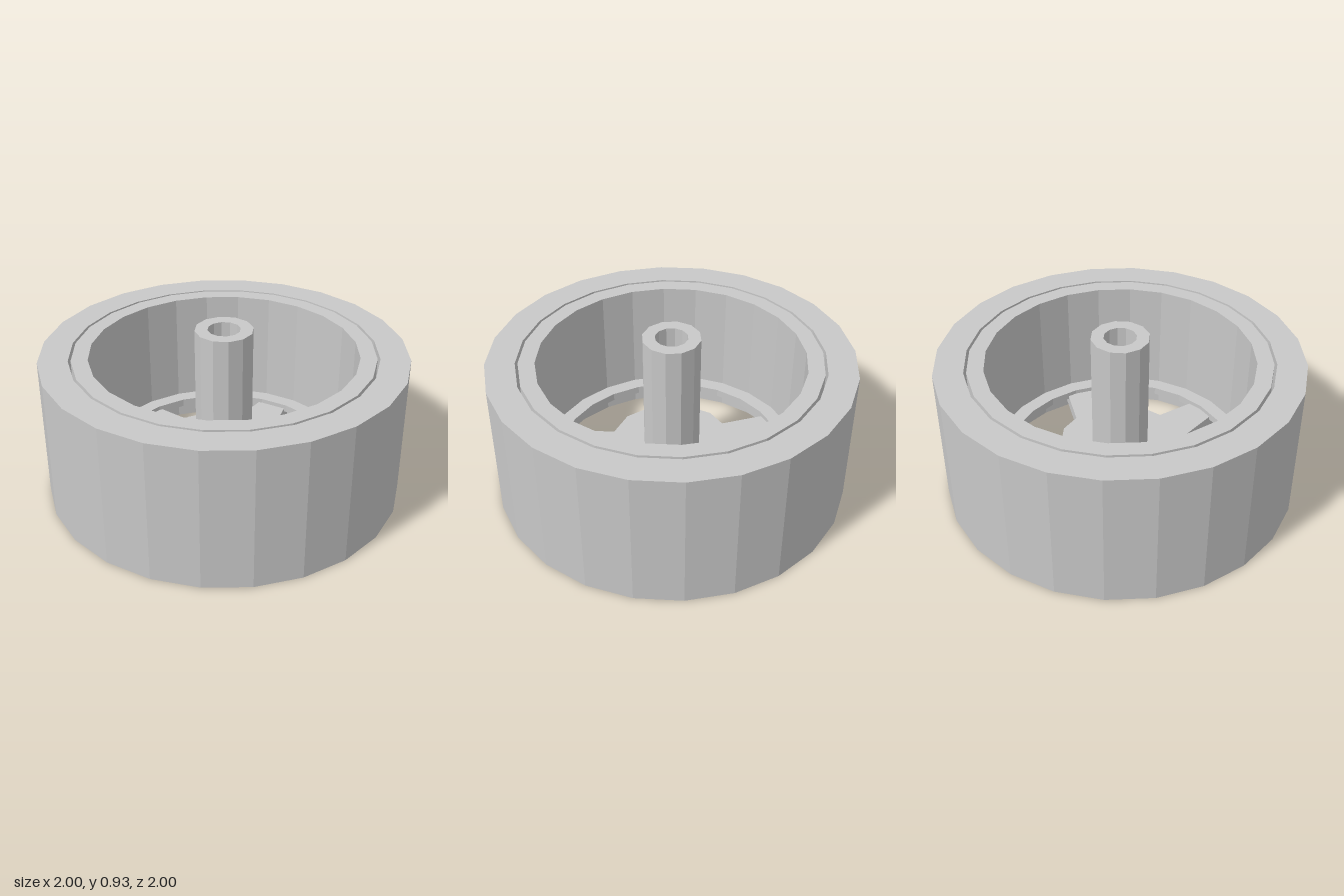
import * as THREE from 'three';

const grey = new THREE.MeshStandardMaterial({ color: 0xc8c8c8 });
grey.name = 'light grey';

// Faceted mesh with one normal per face
function part(name, geometry) {
  const flat = geometry.index ? geometry.toNonIndexed() : geometry;
  flat.computeVertexNormals();
  const mesh = new THREE.Mesh(flat, grey);
  mesh.name = name;
  return mesh;
}

// Revolves a profile of [radius, height] points, outer side going up
function turned(name, profile, sides) {
  const points = profile.map(([r, y]) => new THREE.Vector2(r, y));
  return part(name, new THREE.LatheGeometry(points, sides));
}

export function createModel() {
  const wheel = new THREE.Group();
  wheel.name = 'wheel';

  // Tyre: plain thick ring, with a thin open gap to the rim
  wheel.add(turned('tyre', [[1, 0], [1, 0.8], [0.838, 0.8], [0.838, 0], [1, 0]], 24));

  // Rim: barrel with an inner ledge that carries the spokes
  wheel.add(turned('rim', [
    [0.823, 0], [0.823, 0.8], [0.733, 0.8], [0.733, 0.155],
    [0.65, 0.155], [0.65, 0.11], [0.733, 0.11], [0.733, 0], [0.823, 0],
  ], 24));

  // Hub: disc with a round recess underneath
  wheel.add(turned('hub', [
    [0, 0.19], [0.25, 0.19], [0.25, 0.055], [0.35, 0.055], [0.35, 0.22], [0, 0.22],
  ], 12));

  // Axle sleeve: upright tube with a blind bore
  wheel.add(turned('axleSleeve', [
    [0, 0.1], [0.16, 0.1], [0.16, 0.93], [0.09, 0.93], [0.09, 0.22], [0, 0.22],
  ], 12));

  // Five tapered spokes, the first pointing to the front
  const outline = new THREE.Shape([
    new THREE.Vector2(-0.14, 0.28), new THREE.Vector2(0.14, 0.28),
    new THREE.Vector2(0.075, 0.73), new THREE.Vector2(-0.075, 0.73),
  ]);
  const spokeGeometry = new THREE.ExtrudeGeometry(outline, { depth: 0.075, bevelEnabled: false });
  spokeGeometry.rotateX(Math.PI / 2).translate(0, 0.13, 0);
  const spokes = new THREE.Group();
  spokes.name = 'spokes';
  for (let i = 0; i < 5; i++) {
    const spoke = part('spoke', spokeGeometry);
    spoke.rotation.y = (i * Math.PI * 2) / 5;
    spokes.add(spoke);
  }
  wheel.add(spokes);

  return wheel;
}
